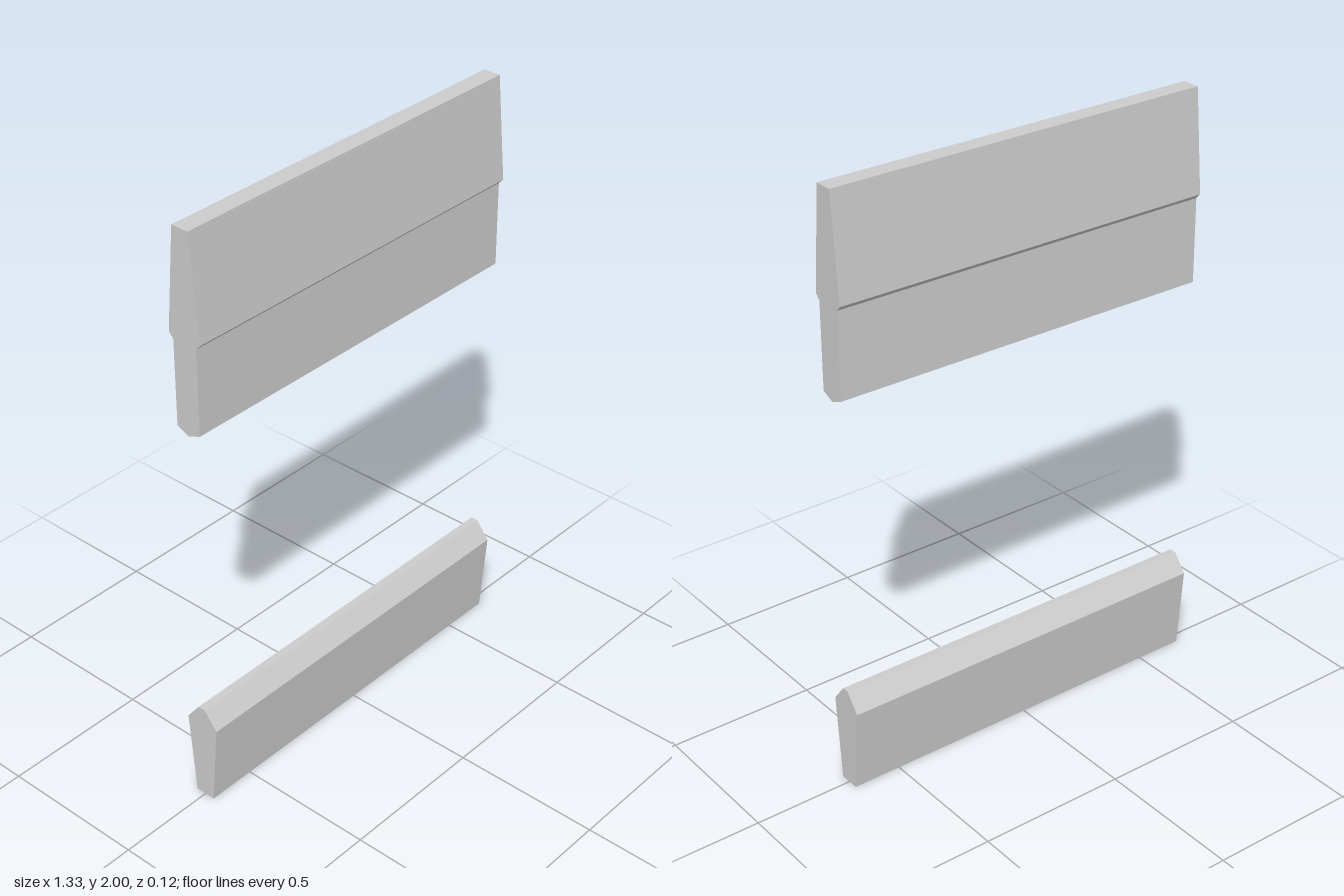
import * as THREE from 'three';

const LENGTH = 1.33;

// Extrude a symmetric profile, given as [half thickness, height] going up, along x
function makeRail(name, half, material) {
  const points = half.map(([t, y]) => new THREE.Vector2(t, y));
  for (const [t, y] of [...half].reverse()) {
    if (t > 0) points.push(new THREE.Vector2(-t, y));
  }
  const geometry = new THREE.ExtrudeGeometry(new THREE.Shape(points), {
    depth: LENGTH, bevelEnabled: false,
  });
  geometry.translate(0, 0, -LENGTH / 2);
  geometry.rotateY(Math.PI / 2);
  const mesh = new THREE.Mesh(geometry, material);
  mesh.name = name;
  return mesh;
}

export function createModel() {
  const grey = new THREE.MeshStandardMaterial({ color: 0xcccccc });
  grey.name = 'light grey';

  const group = new THREE.Group();
  group.name = 'railPanels';

  // Upper panel: tapered cap over a thinner board with a pointed lower edge
  group.add(makeRail('upperPanel', [
    [0, 1.341], [0.044, 1.359], [0.044, 1.643], [0.06, 1.66], [0.03, 2],
  ], grey));

  // Lower rail: widens upwards, then chamfers to a narrow ridge
  group.add(makeRail('lowerRail', [
    [0.035, 0], [0.06, 0.287], [0.013, 0.347],
  ], grey));

  return group;
}
